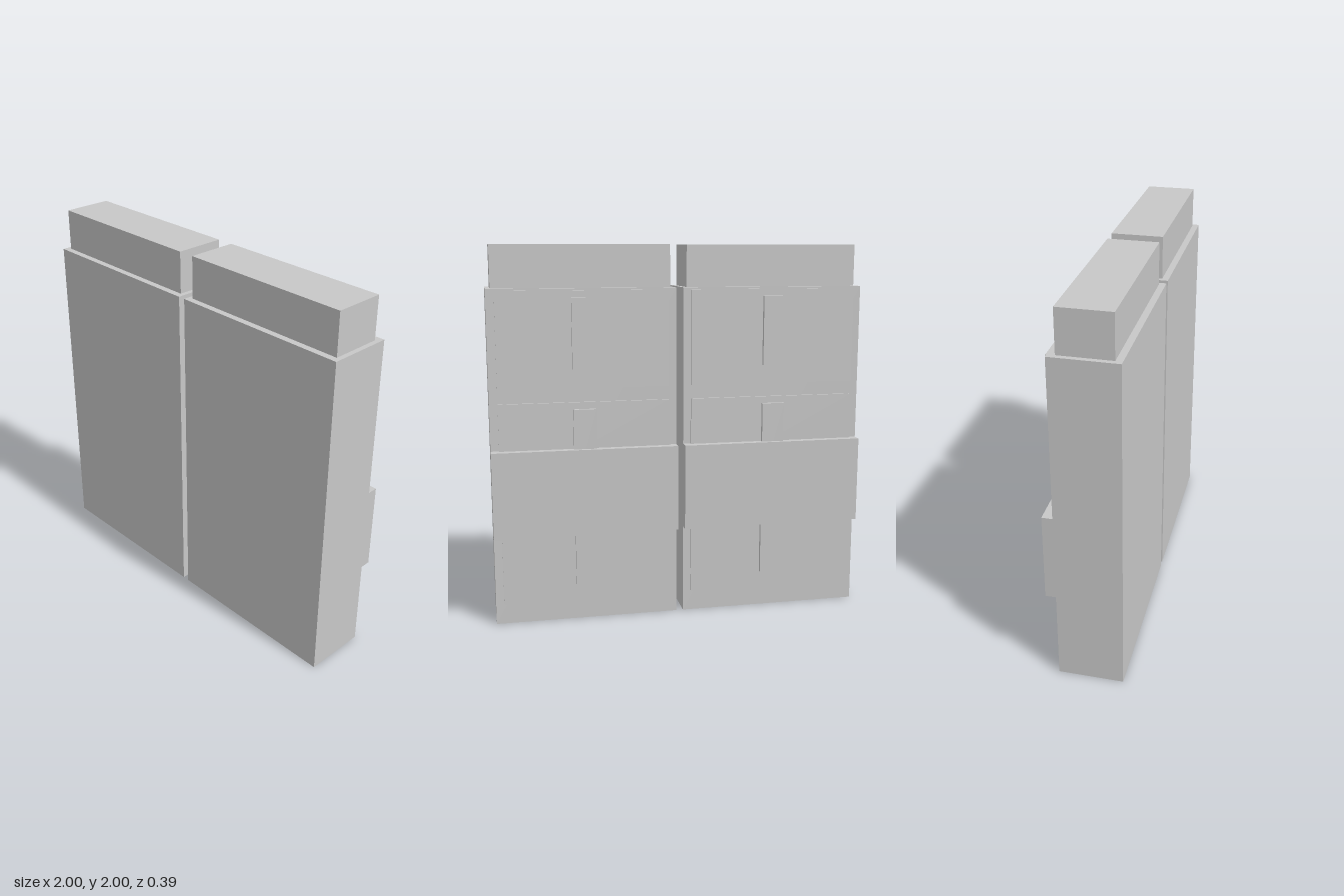
import * as THREE from 'three';

const grey = new THREE.MeshStandardMaterial({ color: 0xc8c8c8 });
grey.name = 'light grey';

// Box given by its extents on each axis
function block(name, [x0, x1], [y0, y1], [z0, z1]) {
  const mesh = new THREE.Mesh(new THREE.BoxGeometry(x1 - x0, y1 - y0, z1 - z0), grey);
  mesh.name = name;
  mesh.position.set((x0 + x1) / 2, (y0 + y1) / 2, (z0 + z1) / 2);
  return mesh;
}

const BACK = -0.141; // rear face of the main slab

function createUnit(name, side) {
  const unit = new THREE.Group();
  unit.name = name;
  const span = (a, b) => (side > 0 ? [a, b] : [-b, -a]);

  // Main slab and the narrower block on top
  unit.add(block('body', span(0.019, 1), [0, 1.775], [BACK, 0.195]));
  unit.add(block('topBlock', span(0.044, 0.975), [1.775, 1.996], [-0.104, 0.161]));

  // Rear panels, each with an upright strip
  const rows = [
    { label: 'upper', panel: [1.262, 1.765], strip: [1.36, 1.728] },
    { label: 'middle', panel: [0.72, 1.188], strip: [0.72, 1.152] },
    { label: 'lower', panel: [0.11, 0.70], strip: [0.201, 0.70] },
  ];
  for (const { label, panel, strip } of rows) {
    unit.add(block(label + 'Panel', span(0.06, 0.957), panel, [-0.153, BACK]));
    unit.add(block(label + 'Strip', span(0.451, 0.571), strip, [-0.173, -0.153]));
  }

  // Wide band across the back
  unit.add(block('rearBand', span(0.019, 1), [0.48, 0.942], [-0.195, BACK]));
  return unit;
}

export function createModel() {
  const model = new THREE.Group();
  model.name = 'twinCabinet';
  model.add(createUnit('leftUnit', 1), createUnit('rightUnit', -1));
  return model;
}
